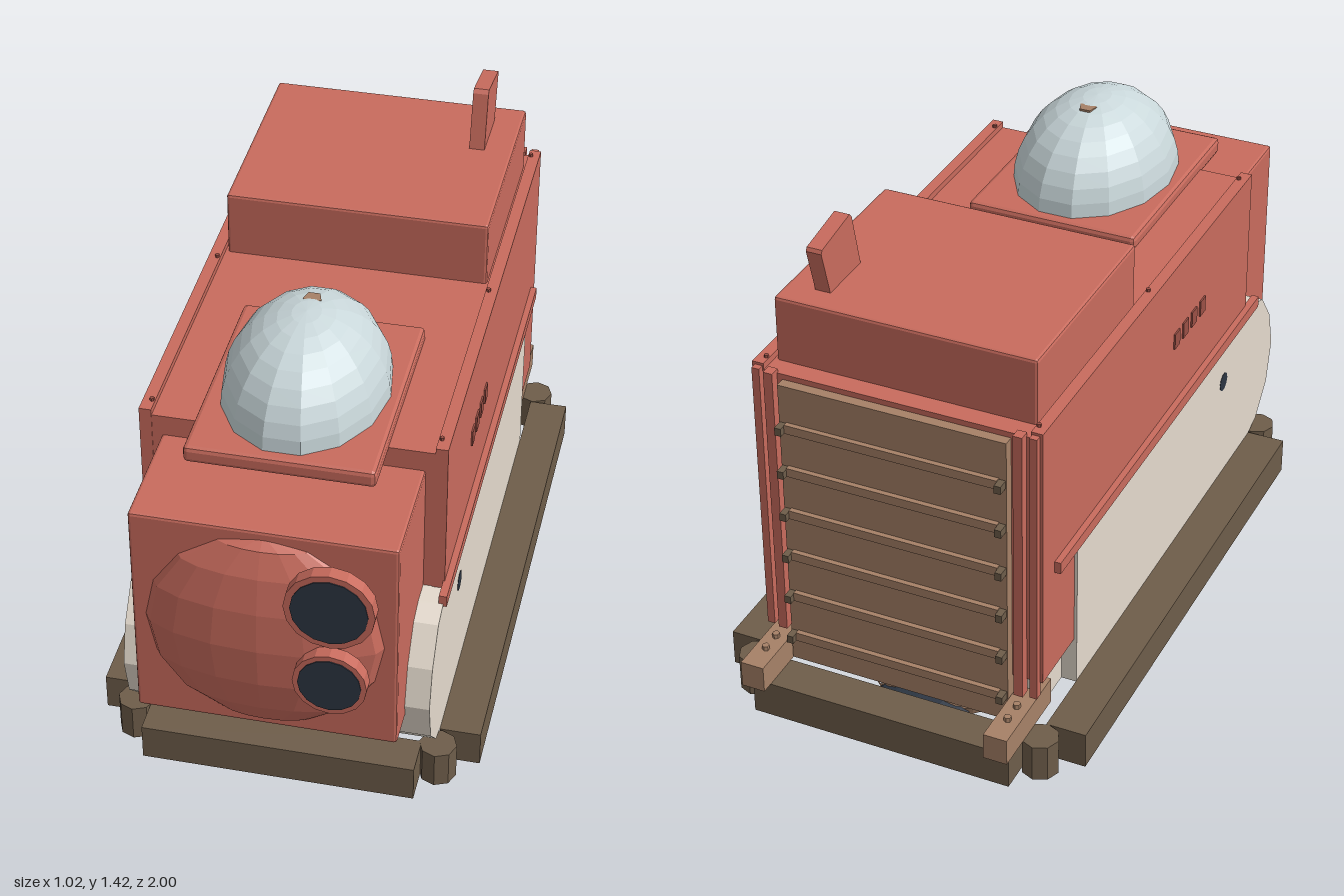
import * as THREE from 'three';
import { RoundedBoxGeometry } from 'three/addons/geometries/RoundedBoxGeometry.js';

export function createModel() {
  const model = new THREE.Group();
  model.name = 'vehicle';

  const mat = (name, color) => {
    const m = new THREE.MeshStandardMaterial({ color, flatShading: true });
    m.name = name;
    return m;
  };
  const red = mat('hull red', 0xc86b5d);
  const darkRed = mat('vent red', 0x9a5046);
  const cream = mat('skirt cream', 0xe4dacd);
  const brown = mat('bumper brown', 0x6e5d4a);
  const tan = mat('door tan', 0xa68167);
  const glass = mat('dome glass', 0xc9d7da);
  const dark = mat('dark lens', 0x2c3542);

  const add = (name, geo, material, x = 0, y = 0, z = 0) => {
    const mesh = new THREE.Mesh(geo, material);
    mesh.name = name;
    mesh.position.set(x, y, z);
    model.add(mesh);
    return mesh;
  };
  // Box given by its limits on each axis
  const box = (name, material, x0, x1, y0, y1, z0, z1, r = 0) => {
    const s = [x1 - x0, y1 - y0, z1 - z0];
    const geo = r ? new RoundedBoxGeometry(...s, 1, r) : new THREE.BoxGeometry(...s);
    return add(name, geo, material, (x0 + x1) / 2, (y0 + y1) / 2, (z0 + z1) / 2);
  };
  // Same box on both sides
  const pair = (name, material, x0, x1, ...rest) => {
    box(name + 'Left', material, x0, x1, ...rest);
    box(name + 'Right', material, -x1, -x0, ...rest);
  };
  // Side outline of (z, y) points extruded across x
  const sideExtrude = (name, material, points, x0, x1) => {
    const shape = new THREE.Shape(points.map(p => new THREE.Vector2(...p)));
    const geo = new THREE.ExtrudeGeometry(shape, { depth: x1 - x0, bevelEnabled: false });
    geo.rotateY(-Math.PI / 2);
    return add(name, geo, material, x1);
  };

  // Lower hull with rounded bow
  sideExtrude('lowerHull', cream, [
    [-0.625, 0.205], [0.62, 0.205], [0.69, 0.225], [0.77, 0.31], [0.8, 0.43],
    [0.77, 0.54], [0.7, 0.63], [0.64, 0.65], [-0.625, 0.65],
  ], -0.402, 0.402);
  box('rearUnderbody', cream, -0.36, 0.36, 0.206, 0.35, -0.79, -0.62);

  // Upper hull, side walls and roof box
  box('rearHull', red, -0.364, 0.364, 0.342, 1.08, -0.82, -0.6);
  box('upperHull', red, -0.364, 0.364, 0.6, 1.08, -0.61, 0.578);
  pair('sideWall', red, 0.362, 0.394, 0.64, 1.097, -0.82, 0.58);
  pair('rearSideWall', red, 0.362, 0.394, 0.342, 0.65, -0.82, -0.62);
  box('roofBox', red, -0.355, 0.355, 1.05, 1.262, -0.765, -0.165, 0.008);
  pair('trimStrip', red, 0.39, 0.411, 0.642, 0.675, -0.75, 0.64);
  sideExtrude('exhaustFin', red,
    [[-0.53, 1.25], [-0.69, 1.25], [-0.73, 1.39], [-0.725, 1.4], [-0.58, 1.425], [-0.57, 1.415]],
    0.235, 0.277);

  // Nose and its bulging face
  box('nose', red, -0.338, 0.338, 0.388, 1.022, 0.56, 0.895, 0.008);
  const bulge = new THREE.SphereGeometry(1, 16, 8);
  bulge.scale(0.31, 0.298, 0.093);
  add('noseBulge', bulge, red, 0, 0.706, 0.885);

  // Twin lamps
  for (const [y, r, lens] of [[0.89, 0.114, 0.097], [0.653, 0.094, 0.08]]) {
    const ring = new THREE.CylinderGeometry(r, r, 0.037, 16).rotateX(Math.PI / 2);
    add('lampRing', ring, red, 0.187, y, 0.979);
    const disc = new THREE.CylinderGeometry(lens, lens, 0.006, 16).rotateX(Math.PI / 2);
    add('lampLens', disc, dark, 0.187, y, 0.997);
  }

  // Roof dome on its plate
  box('domePlate', red, -0.243, 0.243, 1.064, 1.11, 0.1, 0.725, 0.012);
  const dome = new THREE.SphereGeometry(1, 14, 9, 0, Math.PI * 2, 0, Math.PI / 2);
  dome.scale(0.215, 0.232, 0.289);
  add('glassDome', dome, glass, 0, 1.108, 0.412);
  const collar = new THREE.CylinderGeometry(1, 1, 0.025, 14);
  collar.scale(0.2, 1, 0.28);
  add('domeCollar', collar, glass, 0, 1.0585, 0.412);
  add('domeCap', new THREE.CylinderGeometry(0.025, 0.025, 0.012, 5), tan, 0, 1.328, 0.345);

  for (const s of [-1, 1]) {
    // Side vents and round port
    for (let i = 0; i < 4; i++)
      add('sideVent', new THREE.BoxGeometry(0.009, 0.046, 0.036), darkRed, s * 0.394, 0.873, 0.222 - i * 0.061);
    const port = new THREE.CylinderGeometry(0.028, 0.028, 0.008, 10).rotateZ(Math.PI / 2);
    add('sidePort', port, dark, s * 0.399, 0.525, 0.4);
    // Roof rivets
    for (const z of [-0.79, -0.11, 0.54])
      add('roofRivet', new THREE.CylinderGeometry(0.006, 0.006, 0.012, 6), darkRed, s * 0.37, 1.099, z);
    // Corner posts of the bumper
    for (const z of [-0.865, 0.69])
      add('bumperPost', new THREE.CylinderGeometry(0.05, 0.05, 0.104, 8), brown, s * 0.408, 0.157, z);
    // Studs on the rear brackets
    for (const z of [-0.78, -0.87, -0.925])
      add('bracketStud', new THREE.CylinderGeometry(0.01, 0.01, 0.02, 6), tan, s * 0.345, 0.288, z);
  }

  // Bumper frame
  pair('sideRail', brown, 0.402, 0.511, 0.105, 0.208, -0.815, 0.635);
  box('frontBumper', brown, -0.365, 0.365, 0.105, 0.208, 0.69, 0.8);
  box('rearBumper', brown, -0.365, 0.365, 0.105, 0.208, -0.965, -0.855);
  pair('rearBracket', tan, 0.312, 0.377, 0.21, 0.285, -1, -0.73);

  // Ribbed rear door between posts, with bolts at the rib ends
  box('rearDoor', tan, -0.31, 0.31, 0.215, 1.065, -0.848, -0.815);
  pair('doorPost', red, 0.325, 0.35, 0.3, 1.09, -0.845, -0.815);
  pair('outerPost', red, 0.365, 0.386, 0.3, 1.09, -0.838, -0.815);
  for (let i = 0; i < 6; i++) {
    const y = 0.285 + i * 0.13;
    box('doorRib', tan, -0.29, 0.29, y, y + 0.025, -0.862, -0.845);
    pair('doorBolt', brown, 0.29, 0.308, y, y + 0.022, -0.878, -0.845);
  }

  // Belly pod and its sloping duct
  sideExtrude('bellyDuct', tan, [[0.45, 0.206], [-0.6, 0.206], [-0.6, 0.14], [0.45, 0.195]], -0.13, 0.13);
  box('podNeck', tan, -0.05, 0.05, 0.085, 0.18, -0.6, -0.308);
  const pod = new THREE.SphereGeometry(1, 14, 5, 0, Math.PI * 2, Math.PI / 2, Math.PI / 2);
  pod.scale(0.228, 0.082, 0.19);
  add('bellyPod', pod, tan, 0, 0.084, -0.555);
  const top = new THREE.CylinderGeometry(0.98, 1, 0.022, 14);
  top.scale(0.228, 1, 0.19);
  add('podTop', top, tan, 0, 0.094, -0.555);
  add('podStem', new THREE.CylinderGeometry(0.1, 0.1, 0.08, 10), tan, 0, 0.14, -0.555);
  const eye = new THREE.CylinderGeometry(0.1, 0.1, 0.06, 12).rotateX(Math.PI / 2);
  eye.scale(1.3, 0.4, 1);
  add('podLens', eye, dark, 0, 0.07, -0.732);

  return model;
}
